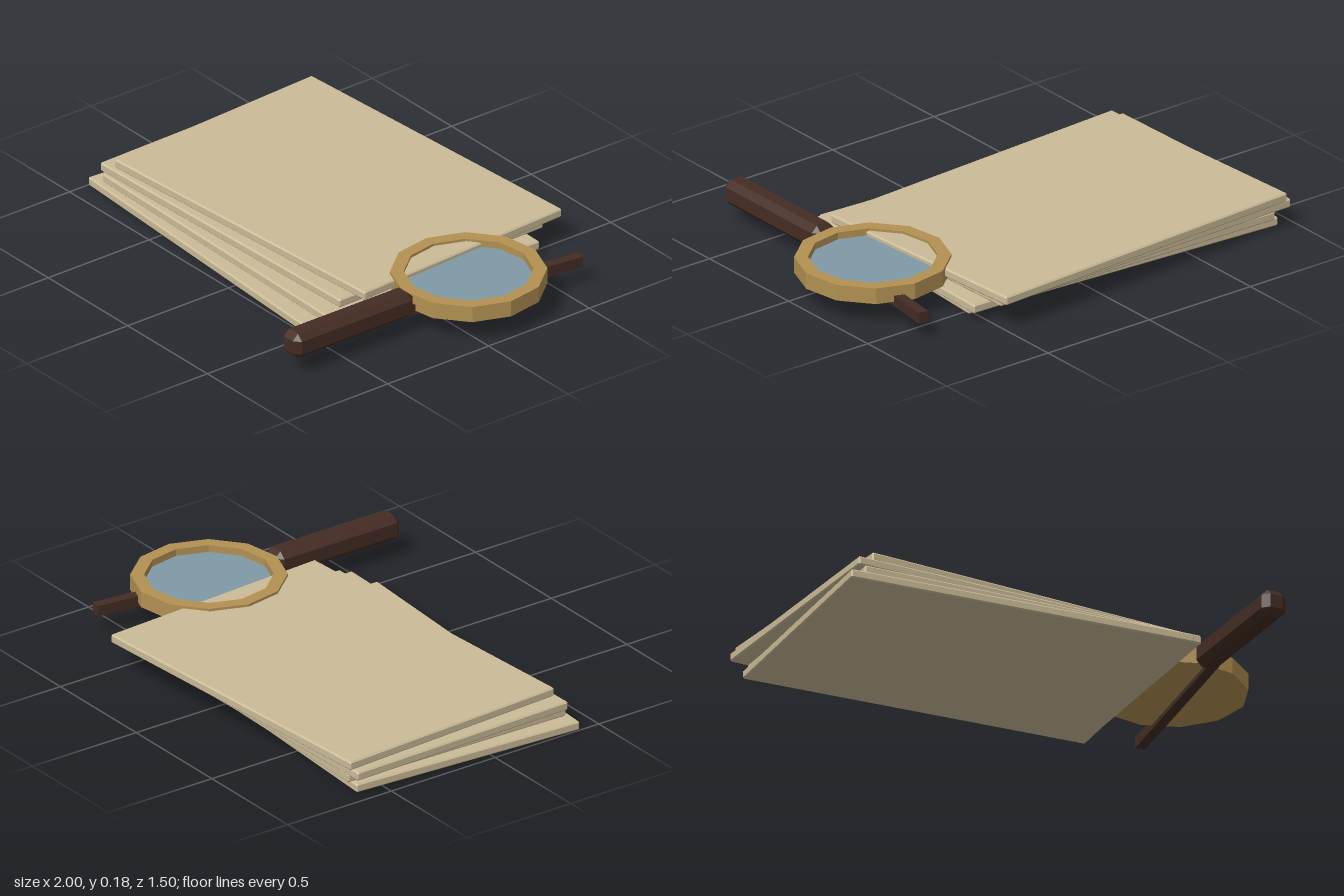
import * as THREE from 'three';
import { ConvexGeometry } from 'three/addons/geometries/ConvexGeometry.js';

const material = (name, color) => {
  const m = new THREE.MeshStandardMaterial({ color, flatShading: true });
  m.name = name;
  return m;
};

// Box with every edge cut off by a flat chamfer c
function chamferBox(w, h, d, c) {
  const points = [];
  for (const sx of [-1, 1]) for (const sy of [-1, 1]) for (const sz of [-1, 1]) {
    const x = w / 2, y = h / 2, z = d / 2;
    points.push(
      new THREE.Vector3(sx * x, sy * (y - c), sz * (z - c)),
      new THREE.Vector3(sx * (x - c), sy * y, sz * (z - c)),
      new THREE.Vector3(sx * (x - c), sy * (y - c), sz * z));
  }
  return new ConvexGeometry(points);
}

export function createModel() {
  const model = new THREE.Group();
  model.name = 'paperStackWithMagnifier';
  const paper = material('parchment', 0xcbbb97);
  const brass = material('brass', 0xb39152);
  const glass = material('glass', 0x8099a6);
  const wood = material('darkWood', 0x442c23);

  const add = (parent, name, geometry, mat, x, y, z, turn = 0) => {
    const mesh = new THREE.Mesh(geometry, mat);
    mesh.name = name;
    mesh.position.set(x, y, z);
    mesh.rotation.y = turn;
    parent.add(mesh);
    return mesh;
  };

  // Stack of slightly turned sheets, bottom to top: x, z, turn
  const sheetGeometry = chamferBox(1.463, 0.0373, 1.032, 0.006);
  [
    [-0.237, -0.06, -0.0616],
    [-0.187, -0.105, -0.024],
    [-0.235, -0.147, 0.024],
    [-0.187, -0.19, 0.0616],
  ].forEach(([x, z, turn], i) =>
    add(model, `sheet${i + 1}`, sheetGeometry, paper, x, 0.0187 + i * 0.0377, z, turn));

  const magnifier = new THREE.Group();
  magnifier.name = 'magnifier';
  model.add(magnifier);

  // Twelve-sided rim with a closed back and a recess for the lens
  const profile = [[0, 0.094], [0.307, 0.094], [0.307, 0.161], [0.253, 0.161], [0.253, 0.12]]
    .map(([r, y]) => new THREE.Vector2(r, y));
  add(magnifier, 'rim', new THREE.LatheGeometry(profile, 12), brass, 0.695, 0, -0.142, -0.098);
  add(magnifier, 'lens', new THREE.CylinderGeometry(0.253, 0.253, 0.008, 12), glass,
    0.695, 0.128, -0.142, -0.098);

  // Grip, and the thin rod running from it under the rim
  add(magnifier, 'handle', chamferBox(0.106, 0.108, 0.595, 0.026), wood, 0.692, 0.124, 0.452);
  add(magnifier, 'rod', new THREE.BoxGeometry(0.042, 0.045, 0.82), wood,
    0.757, 0.098, -0.2, -0.125);

  return model;
}
